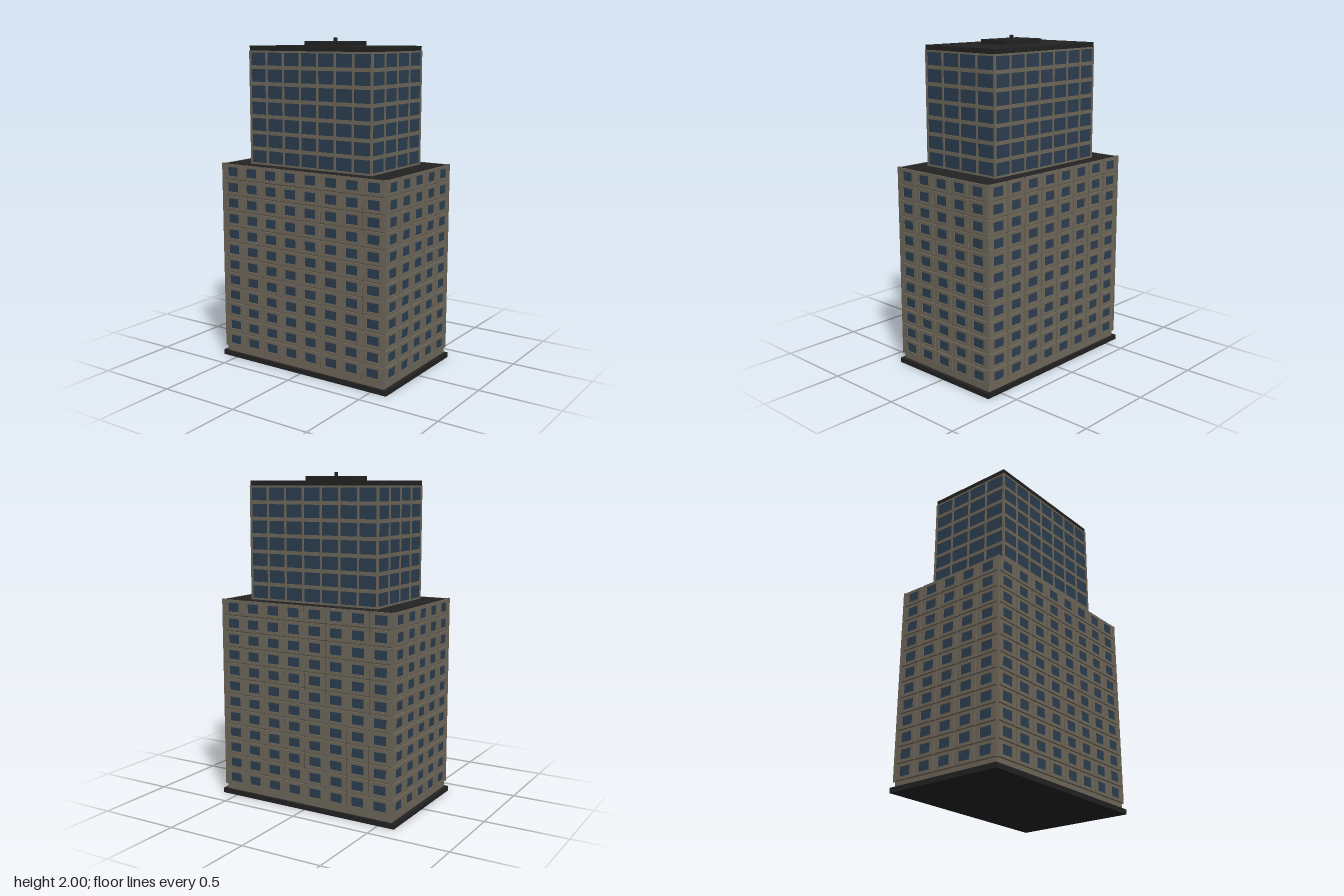
import * as THREE from 'three';
import { mergeGeometries } from 'three/addons/utils/BufferGeometryUtils.js';

const material = (name, color) => {
  const m = new THREE.MeshStandardMaterial({ color });
  m.name = name;
  return m;
};

export function createModel() {
  const concrete = material('concrete', 0x6e675a);
  const joint = material('shadowed joint', 0x4b453b);
  const glass = material('blue glass', 0x2c3e50);
  const dark = material('dark roofing', 0x222222);

  const model = new THREE.Group();
  model.name = 'tower';
  const add = (name, geo, mat, parent = model) => {
    const mesh = new THREE.Mesh(geo, mat);
    mesh.name = name;
    parent.add(mesh);
    return mesh;
  };
  // box given by its centre x, bottom y, centre z
  const block = (w, h, d, x = 0, y = 0, z = 0) =>
    new THREE.BoxGeometry(w, h, d).translate(x, y + h / 2, z);

  // precast panel with a window opening
  const bay = 0.145, floor = 0.098, firstFloor = 0.064, floors = 12;
  const pw = bay - 0.008, ph = floor - 0.007, ww = 0.08, wh = 0.056;
  const rect = (target, w, h) => target.moveTo(-w / 2, -h / 2).lineTo(w / 2, -h / 2)
    .lineTo(w / 2, h / 2).lineTo(-w / 2, h / 2).closePath();
  const panelShape = rect(new THREE.Shape(), pw, ph);
  panelShape.holes.push(rect(new THREE.Path(), ww, wh));
  const panel = new THREE.ExtrudeGeometry(panelShape, { depth: 0.011, bevelEnabled: false });
  const pane = new THREE.BoxGeometry(ww, wh, 0.004).translate(0, 0, 0.003);

  // the four sides: [name, turn, distance from centre, width, lower bays, tower bays]
  const sides = (halfX, halfZ) => [
    ['front', 0, halfZ, halfX * 2], ['left', Math.PI / 2, halfX, halfZ * 2],
    ['back', Math.PI, halfZ, halfX * 2], ['right', -Math.PI / 2, halfX, halfZ * 2]];

  // plinth, lower core and terrace
  add('plinth', block(1.21, 0.03, 0.76), dark);
  add('lowerFooting', block(1.164, firstFloor - 0.03, 0.729, 0, 0.03), concrete);
  add('lowerCore', block(1.16, 1.23 - firstFloor, 0.725, 0, firstFloor), joint);
  add('terraceRoof', block(1.162, 0.007, 0.727, 0, 1.229), dark);

  // lower facades
  for (const [name, turn, dist, width] of sides(0.58, 0.3625)) {
    const bays = Math.round(width / bay), panels = [], panes = [];
    for (let i = 0; i < bays; i++) for (let j = 0; j < floors; j++) {
      const x = (i - (bays - 1) / 2) * bay, y = firstFloor + (j + 0.5) * floor;
      panels.push(panel.clone().translate(x, y, dist));
      panes.push(pane.clone().translate(x, y, dist));
    }
    const facade = new THREE.Group();
    facade.name = name + 'Facade';
    facade.rotation.y = turn;
    model.add(facade);
    add('wallPanels', mergeGeometries(panels), concrete, facade);
    add('windows', mergeGeometries(panes), glass, facade);
  }

  // corner posts of the lower block
  for (const sx of [-1, 1]) for (const sz of [-1, 1])
    add('cornerPost', block(0.012, 1.176, 0.012, sx * 0.585, firstFloor, sz * 0.3675), concrete);

  // upper glass tower
  const base = 1.236, top = 1.922, hx = 0.431, hz = 0.274;
  add('towerGlass', block(hx * 2, top - base, hz * 2, 0, base), glass);
  for (let k = 0; k <= 7; k++) {
    const y = base + k * floor, lo = Math.max(y - 0.011, base), hi = Math.min(y + 0.011, top);
    add('floorBand', block(hx * 2 + 0.008, hi - lo, hz * 2 + 0.008, 0, lo), concrete);
  }
  for (const [name, turn, dist, width] of sides(hx, hz)) {
    const bays = width > 0.7 ? 7 : 4, bars = [];
    for (let i = 0; i <= bays; i++)
      bars.push(block(0.012, top - base, 0.012, (i / bays - 0.5) * width, base, dist));
    add(name + 'Mullions', mergeGeometries(bars), concrete).rotation.y = turn;
  }

  // roof, plant room and mast
  add('towerRoof', block(0.868, 0.028, 0.554, 0, top), dark);
  add('plantRoom', block(0.31, 0.027, 0.2, 0, 1.95), dark);
  add('mast', block(0.016, 0.023, 0.016, 0, 1.977), dark);

  return model;
}
